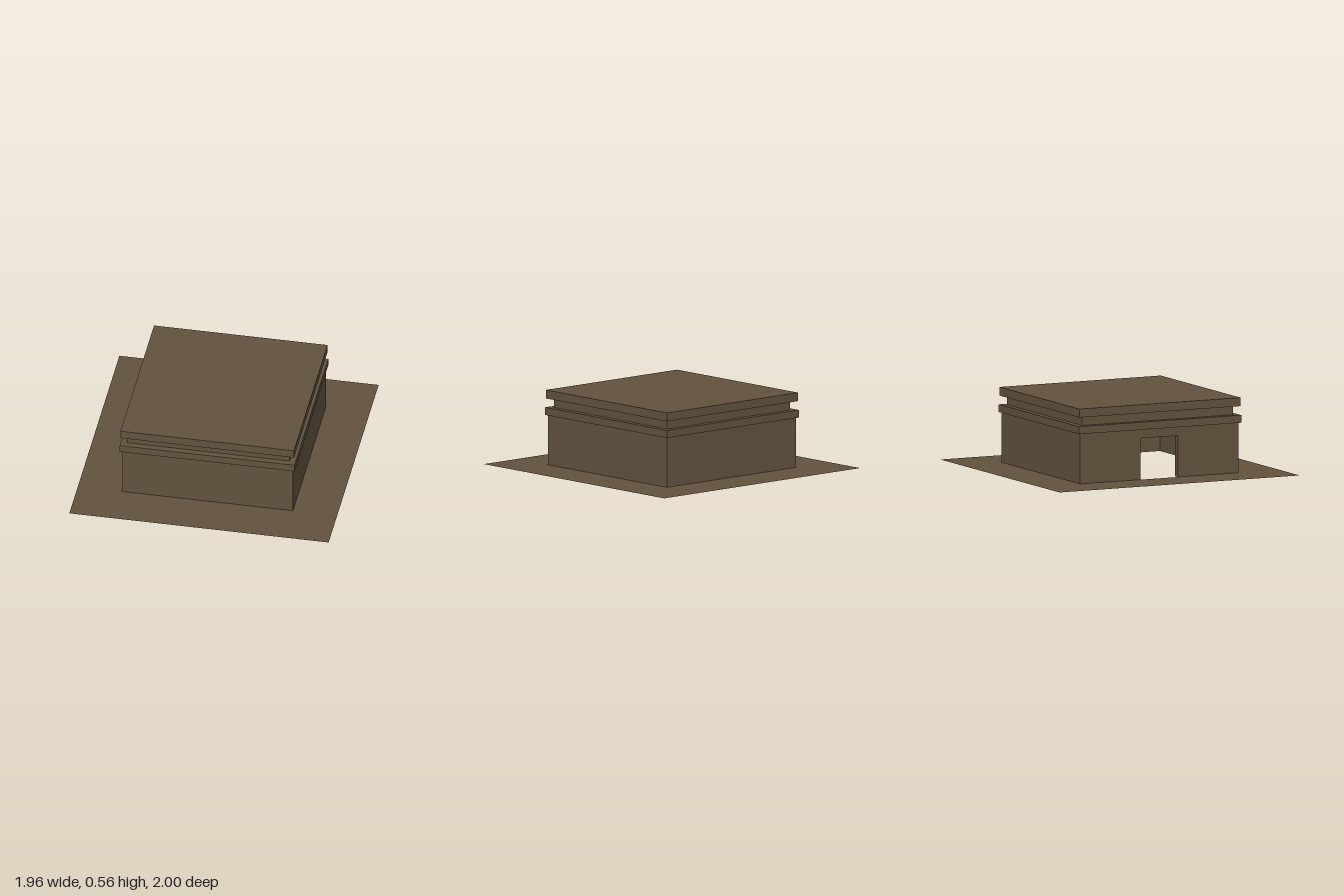
import * as THREE from 'three';

const stone = new THREE.MeshStandardMaterial({ color: 0x63533e, side: THREE.DoubleSide });
stone.name = 'brownStone';

const WALL = [0.646, 0.66];   // half sizes in x and z
const LOWER = [0.661, 0.675];
const NECK = [0.615, 0.629];
const UPPER = [0.656, 0.671];
const GROUND = [0.98, 1];
const Y = [0, 0.376, 0.433, 0.5, 0.564];
const DOOR = { half: 0.156, height: 0.31, depth: 0.054 };

function rectPoints([a, b]) {
  return [[-a, -b], [a, -b], [a, b], [-a, b]].map(([x, y]) => new THREE.Vector2(x, y));
}

export function createModel() {
  const model = new THREE.Group();

  function add(name, geometry, parent = model) {
    const mesh = new THREE.Mesh(geometry, stone);
    mesh.name = name;
    parent.add(mesh);
    return mesh;
  }

  // Horizontal sheet, optionally with a rectangular opening; faces up or down
  function sheet(name, y, outer, inner, up = true) {
    const shape = new THREE.Shape(rectPoints(outer));
    if (inner) shape.holes.push(new THREE.Path(rectPoints(inner)));
    const geometry = new THREE.ShapeGeometry(shape);
    geometry.rotateX(up ? -Math.PI / 2 : Math.PI / 2);
    return add(name, geometry.translate(0, y, 0));
  }

  // Four upright sides; the side at -x can carry the doorway
  function sides(name, [a, b], y0, y1, door = false) {
    const group = new THREE.Group();
    group.name = name;
    model.add(group);
    ['Front', 'Left', 'Back', 'Right'].forEach((side, i) => {
      const w = i % 2 ? b : a, d = i % 2 ? a : b;
      const outline = [[-w, y0], [w, y0], [w, y1], [-w, y1]];
      if (door && i === 3) {
        const { half, height } = DOOR;
        outline.splice(1, 0, [-half, y0], [-half, height], [half, height], [half, y0]);
      }
      const shape = new THREE.Shape(outline.map(([x, y]) => new THREE.Vector2(x, y)));
      const geometry = new THREE.ShapeGeometry(shape).translate(0, 0, d);
      add(name + side, geometry.rotateY(i * Math.PI / 2), group);
    });
  }

  // Ground sheet, open beneath the hollow building
  sheet('ground', 0, GROUND, WALL);

  // Walls, stepped cornice and roof
  sides('wall', WALL, Y[0], Y[1], true);
  sheet('lowerBandUnderside', Y[1], LOWER, WALL, false);
  sides('lowerBand', LOWER, Y[1], Y[2]);
  sheet('lowerBandLedge', Y[2], LOWER, NECK);
  sides('neck', NECK, Y[2], Y[3]);
  sheet('upperBandUnderside', Y[3], UPPER, NECK, false);
  sides('upperBand', UPPER, Y[3], Y[4]);
  sheet('roof', Y[4], UPPER);

  // Doorway reveals running inward from the wall at -x
  const { half, height, depth } = DOOR;
  const x = -WALL[0] + depth / 2;
  for (const s of [-1, 1]) {
    const jamb = new THREE.PlaneGeometry(depth, height);
    if (s > 0) jamb.rotateY(Math.PI);
    add('doorJamb', jamb.translate(x, height / 2, s * half));
  }
  add('doorLintel', new THREE.PlaneGeometry(depth, 2 * half).rotateX(Math.PI / 2).translate(x, height, 0));

  return model;
}
